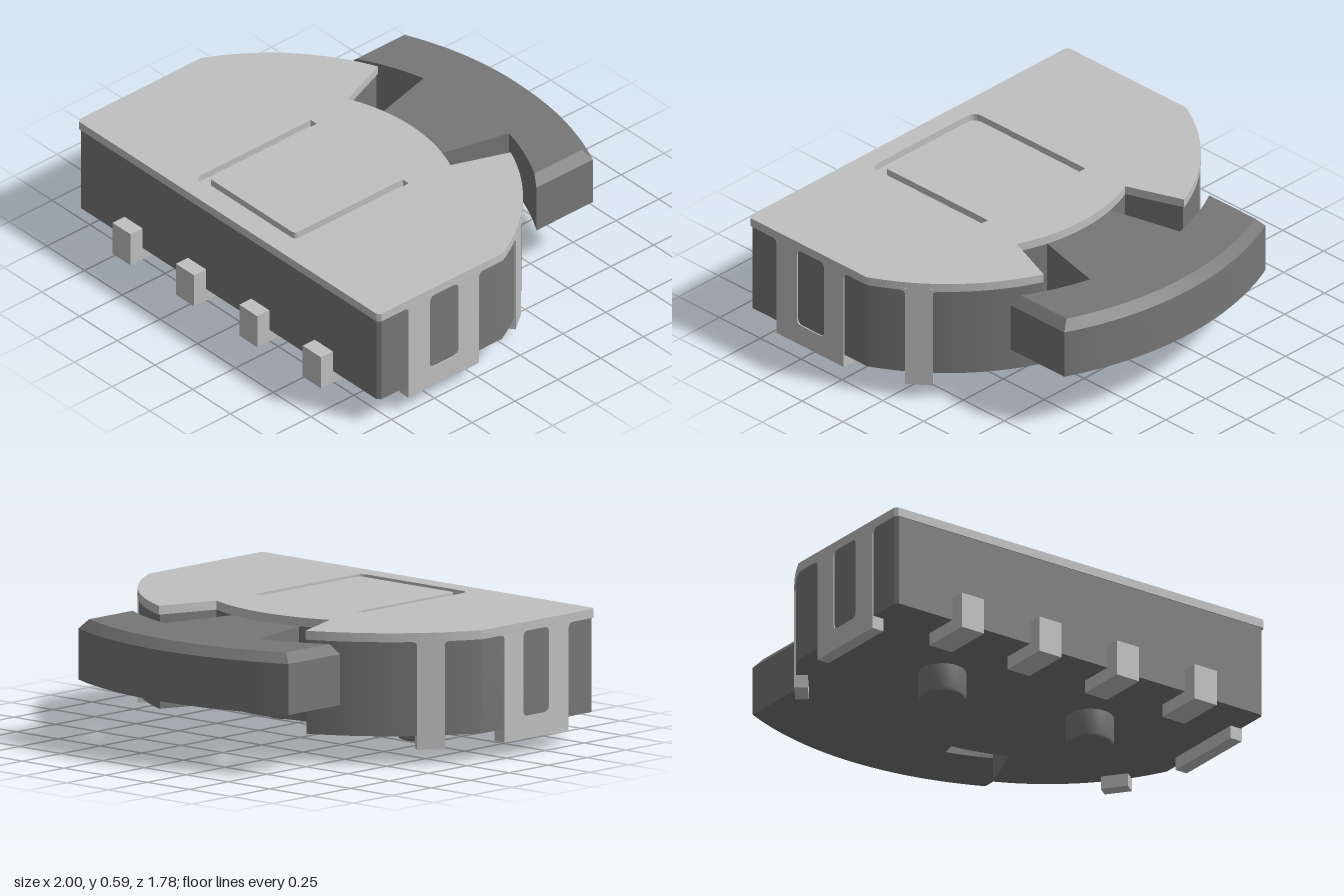
import * as THREE from 'three';
import { toCreasedNormals } from 'three/addons/utils/BufferGeometryUtils.js';

const metal = new THREE.MeshStandardMaterial({ color: 0xc0c0c0 });
metal.name = 'light metal';
const plastic = new THREE.MeshStandardMaterial({ color: 0x777777 });
plastic.name = 'dark plastic';

// Extrude a plan shape (x, -z) upwards from y0 to y1
function slab(shape, y0, y1) {
  const g = new THREE.ExtrudeGeometry(shape, { depth: y1 - y0, bevelEnabled: false, curveSegments: 32 });
  return g.rotateX(-Math.PI / 2).translate(0, y0, 0);
}

// Arc about (0, cy) between two x positions, over the top
function arc(s, cy, r, xa, xb) {
  const a = Math.acos(xa / r), b = Math.acos(xb / r);
  s.absarc(0, cy, r, a, b, a > b);
}

// D-shaped plan with a flared notch at the back
function housingShape(inset) {
  const w = 1 - inset, f = 0.825 - inset, c = 0.015, R = 1.109 - inset;
  const side = Math.sqrt(R * R - w * w) - 0.58;
  const s = new THREE.Shape();
  s.moveTo(-w + c, -f);
  s.lineTo(w - c, -f);
  s.lineTo(w, -f + c);
  s.lineTo(w, side);
  arc(s, -0.58, R, w, 0.44);
  s.lineTo(0.34, 0.175);
  arc(s, -0.6, 0.846, 0.34, -0.34);
  s.lineTo(-0.44, Math.sqrt(R * R - 0.44 * 0.44) - 0.58);
  arc(s, -0.58, R, -0.44, -w);
  s.lineTo(-w, -f + c);
  s.closePath();
  return s;
}

// U-shaped slot in the cover
function slotPath(s) {
  const o = 0.325, i = 0.285, t = -0.055, bo = -0.735, bi = -0.685, ro = 0.05, ri = 0.025;
  s.moveTo(-o, t);
  s.lineTo(-o, bo + ro);
  s.quadraticCurveTo(-o, bo, -o + ro, bo);
  s.lineTo(o - ro, bo);
  s.quadraticCurveTo(o, bo, o, bo + ro);
  s.lineTo(o, t);
  s.lineTo(i, t);
  s.lineTo(i, bi + ri);
  s.quadraticCurveTo(i, bi, i - ri, bi);
  s.lineTo(-i + ri, bi);
  s.quadraticCurveTo(-i, bi, -i, bi + ri);
  s.lineTo(-i, t);
  s.closePath();
  return s;
}

// Downward tab with flared top corners, centred on u = 0
function tabShape(half, flare) {
  const s = new THREE.Shape();
  s.moveTo(-half, 0.07);
  s.lineTo(half, 0.07);
  s.lineTo(half, 0.55 - flare);
  s.quadraticCurveTo(half, 0.55, half + flare, 0.55);
  s.lineTo(half + flare, 0.56);
  s.lineTo(-half - flare, 0.56);
  s.lineTo(-half - flare, 0.55);
  s.quadraticCurveTo(-half, 0.55, -half, 0.55 - flare);
  s.closePath();
  return s;
}

// Rounded window
function windowPath(x0, x1, y0, y1, r) {
  const p = new THREE.Path();
  p.moveTo(x0 + r, y0);
  p.lineTo(x1 - r, y0);
  p.quadraticCurveTo(x1, y0, x1, y0 + r);
  p.lineTo(x1, y1 - r);
  p.quadraticCurveTo(x1, y1, x1 - r, y1);
  p.lineTo(x0 + r, y1);
  p.quadraticCurveTo(x0, y1, x0, y1 - r);
  p.lineTo(x0, y0 + r);
  p.quadraticCurveTo(x0, y0, x0 + r, y0);
  return p;
}

// Curved slider handle with a neck reaching into the housing
function sliderShape() {
  const s = new THREE.Shape();
  const inner = (x) => Math.sqrt(1.44 - x * x) - 0.6;
  s.moveTo(-0.19, 0.19);
  s.lineTo(0.19, 0.19);
  s.lineTo(0.282, inner(0.282));
  arc(s, -0.6, 1.2, 0.282, 0.63);
  arc(s, -0.6, 1.49, 0.63, -0.63);
  arc(s, -0.6, 1.2, -0.63, -0.282);
  s.closePath();
  return s;
}

export function createModel() {
  const model = new THREE.Group();
  model.name = 'slideSwitch';
  const add = (name, geo, mat, smooth = true) => {
    const m = new THREE.Mesh(smooth ? toCreasedNormals(geo, 0.5) : geo, mat);
    m.name = name;
    model.add(m);
    return m;
  };

  // Housing and cover
  add('housing', slab(housingShape(0.006), 0.13, 0.55), plastic);
  const cover = housingShape(0);
  cover.holes.push(slotPath(new THREE.Path()));
  add('cover', slab(cover, 0.55, 0.59), metal);
  add('slotFloor', slab(slotPath(new THREE.Shape()), 0.551, 0.558), metal);

  // Slider: straight lower part, chamfered upper part
  add('slider', slab(sliderShape(), 0.28, 0.507), plastic);
  const top = slab(sliderShape(), 0.507, 0.55);
  const p = top.attributes.position;
  for (let i = 0; i < p.count; i++) {
    if (p.getY(i) < 0.54) continue;
    const x = p.getX(i), outer = Math.hypot(x, p.getZ(i) - 0.6) > 1.4;
    if (!outer && Math.abs(x) < 0.59) continue;
    const nx = THREE.MathUtils.clamp(x, -0.59, 0.59), r = outer ? 1.45 : 1.2;
    p.setX(i, nx);
    p.setZ(i, 0.6 - Math.sqrt(r * r - nx * nx));
  }
  top.computeVertexNormals();
  add('sliderChamfer', top, plastic);

  // Side legs with windows, and angled tabs on the curved wall
  for (const side of [1, -1]) {
    const leg = tabShape(0.205, 0.03);
    leg.holes.push(windowPath(-0.08, 0.085, 0.17, 0.55, 0.03));
    const g = new THREE.ExtrudeGeometry(leg, { depth: 0.06, bevelEnabled: false });
    g.rotateY(Math.PI / 2).translate(side > 0 ? 0.94 : -1, 0, 0.445);
    add(side > 0 ? 'leftLeg' : 'rightLeg', g, metal);

    const t = new THREE.ExtrudeGeometry(tabShape(0.062, 0.02), { depth: 0.06, bevelEnabled: false });
    const tab = add(side > 0 ? 'leftTab' : 'rightTab', t.translate(0, 0, -0.06), metal);
    const a = Math.asin(0.68 / 1.109);
    tab.position.set(side * 1.109 * Math.cos(a), 0, 0.58 - 1.109 * Math.sin(a));
    tab.rotation.y = side * (Math.PI / 2 + a);
  }

  // Front terminals: upright and foot
  for (const x of [-0.63, -0.21, 0.21, 0.63]) {
    add('terminalUpright', new THREE.BoxGeometry(0.12, 0.165, 0.07).translate(x, 0.1525, 0.855), metal, false);
    add('terminalFoot', new THREE.BoxGeometry(0.12, 0.06, 0.18).translate(x, 0.1, 0.74), metal, false);
  }

  // Locating pegs
  const profile = [[0, 0], [0.085, 0], [0.099, 0.006], [0.105, 0.02], [0.105, 0.14]].map(([r, y]) => new THREE.Vector2(r, y));
  for (const x of [-0.4, 0.4]) {
    add('locatingPeg', new THREE.LatheGeometry(profile, 32).translate(x, 0, 0.345), plastic);
  }
  return model;
}
